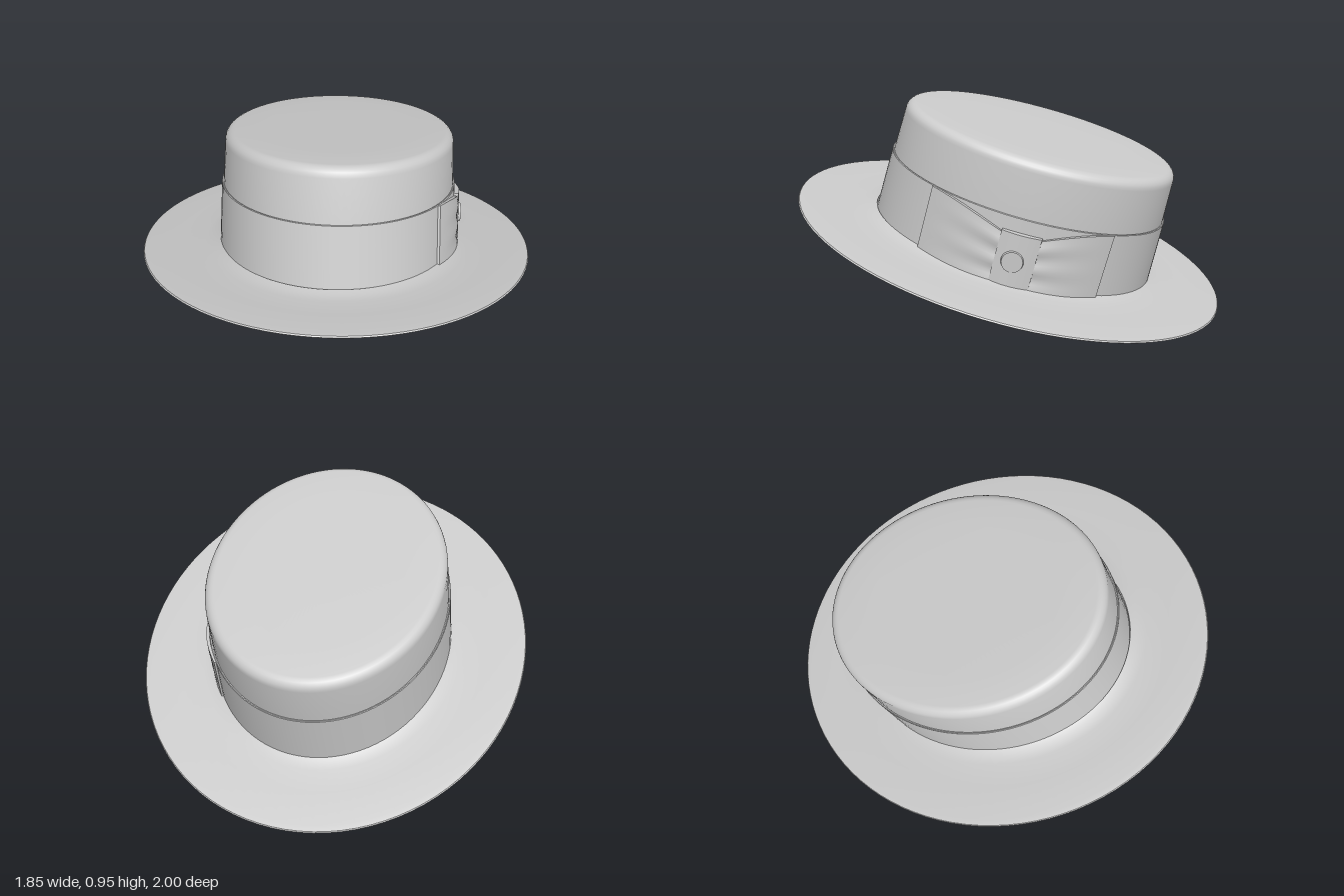
import * as THREE from 'three';
import { toCreasedNormals } from 'three/addons/utils/BufferGeometryUtils.js';

const material = new THREE.MeshStandardMaterial({ color: 0xcccccc, side: THREE.DoubleSide });
const OVAL = 0.055; // half the difference between the long and short radii

function addMesh(parent, name, geometry, crease = 0.6) {
  geometry.deleteAttribute('uv');
  geometry.deleteAttribute('normal');
  const mesh = new THREE.Mesh(toCreasedNormals(geometry, crease), material);
  mesh.name = name;
  parent.add(mesh);
  return mesh;
}

function moveVertices(geometry, rule) {
  const p = geometry.attributes.position;
  const v = new THREE.Vector3();
  for (let i = 0; i < p.count; i++) {
    rule(v.fromBufferAttribute(p, i));
    p.setXYZ(i, v.x, v.y, v.z);
  }
  return geometry;
}

// Turned profile of [mean radius, height], stretched to an oval along z
function ovalLathe(profile) {
  const points = profile.map(([r, y]) => new THREE.Vector2(r, y));
  return moveVertices(new THREE.LatheGeometry(points, 96), (v) => {
    const r = Math.hypot(v.x, v.z);
    if (r < 1e-6) return;
    const d = OVAL * Math.min(1, r / 0.5);
    v.x *= (r - d) / r;
    v.z *= (r + d) / r;
  });
}

// Outer x of the hat band at a given height and z
function bandX(y, z) {
  const r = 0.622 - 0.042 * y;
  return (r - OVAL) * Math.sqrt(1 - (z / (r + OVAL)) ** 2);
}

// Box wrapped on the band: shape(t, s) gives [z, y, thickness]
function wrappedPad(shape) {
  const box = new THREE.BoxGeometry(1, 1, 1, 1, 16, 24);
  return moveVertices(box, (v) => {
    const [z, y, thick] = shape(v.z + 0.5, v.y + 0.5);
    v.set(bandX(y, z) + (v.x > 0 ? thick : -0.006), y, z);
  });
}

export function createModel() {
  const hat = new THREE.Group();
  hat.name = 'hat';

  // Brim with a bound edge and a small lip around the opening
  addMesh(hat, 'brim', ovalLathe([
    [0.607, 0.004], [0.611, -0.008], [0.62, -0.014], [0.63, -0.008], [0.64, -0.006],
    [0.78, -0.008], [0.918, -0.005], [0.925, -0.011], [0.95, -0.009], [0.972, -0.003],
    [0.979, 0.002], [0.975, 0.008], [0.95, 0.011], [0.8, 0.01], [0.69, 0.012],
    [0.645, 0.018], [0.615, 0.03], [0.607, 0.004],
  ]));

  const top = new THREE.Group();
  top.name = 'crownAssembly';
  top.position.z = -0.012;
  hat.add(top);

  // Hollow crown with a rounded top edge
  const crown = [[0.596, 0], [0.611, 0], [0.601, 0.31], [0.59, 0.51]];
  for (let i = 1; i <= 6; i++) {
    const a = (i / 6) * Math.PI / 2;
    crown.push([0.545 + 0.045 * Math.cos(a), 0.512 + 0.045 * Math.sin(a)]);
  }
  crown.push([0.4, 0.559], [0.2, 0.56], [0, 0.56]);
  addMesh(top, 'crown', ovalLathe(crown));
  addMesh(top, 'crownLining', ovalLathe([
    [0, 0.545], [0.53, 0.542], [0.56, 0.53], [0.574, 0.5], [0.596, 0],
  ]));

  // Ribbon outside and sweatband inside
  addMesh(top, 'ribbon', ovalLathe([
    [0.608, 0], [0.622, 0], [0.609, 0.31], [0.606, 0.313], [0.598, 0.31],
  ]));
  addMesh(top, 'sweatband', ovalLathe([
    [0.604, -0.006], [0.598, 0.05], [0.578, 0.21], [0.582, 0.212], [0.6, 0.05],
  ]));

  // Bow on the left side: two pleated wings, a knot and a button
  const bow = new THREE.Group();
  bow.name = 'bow';
  top.add(bow);
  const wings = [['frontWing', -0.04, 0.35], ['backWing', -0.13, -0.455]];
  for (const [name, inner, outer] of wings) {
    const geometry = wrappedPad((t, s) => {
      const u = inner < outer ? t : 1 - t;
      const low = 0.018 - 0.01 * u;
      const high = 0.225 + 0.085 * Math.sin(u * Math.PI / 2);
      const fold = 0.005 * Math.cos(s * Math.PI * 5) * (1 - u) ** 1.5;
      const puff = 0.011 * Math.sin(Math.PI * Math.min(1, u * 0.8 + 0.15));
      return [inner + (outer - inner) * u, low + (high - low) * s, 0.009 + puff + fold];
    });
    addMesh(bow, name, geometry);
  }
  addMesh(bow, 'knot', wrappedPad((t, s) => [
    -0.17 + 0.173 * t, 0.012 + 0.238 * s, 0.02 + 0.008 * Math.sin(Math.PI * t),
  ]));
  const button = addMesh(bow, 'button', new THREE.CylinderGeometry(0.046, 0.05, 0.016, 32));
  button.rotation.z = -Math.PI / 2;
  button.rotation.y = 0.1;
  button.position.set(bandX(0.128, -0.075) + 0.027, 0.128, -0.075);

  // Tilt the whole hat back
  hat.rotation.x = -0.254;
  hat.position.y = 0.265;
  const model = new THREE.Group();
  model.name = 'boaterHat';
  model.add(hat);
  return model;
}
